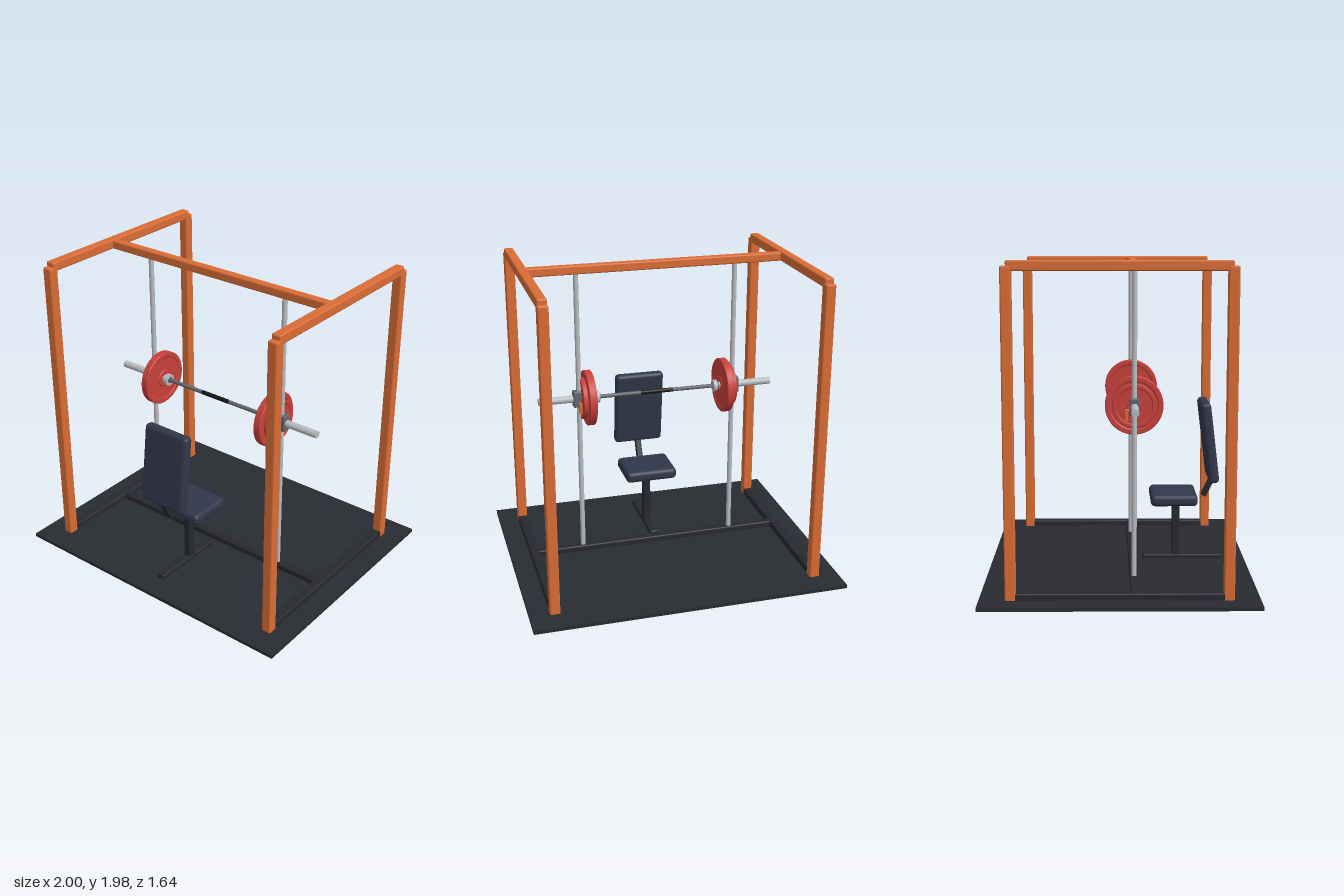
import * as THREE from 'three';
import { RoundedBoxGeometry } from 'three/addons/geometries/RoundedBoxGeometry.js';
import { toCreasedNormals } from 'three/addons/utils/BufferGeometryUtils.js';

const paint = (color) => new THREE.MeshStandardMaterial({ color });
const mats = {
  orange: paint(0xd96c35), dark: paint(0x26282d), mat: paint(0x282b30), pad: paint(0x31374a),
  red: paint(0xc8403a), steel: paint(0xb9bcc0), grey: paint(0x62676e), black: paint(0x151617),
};

export function createModel() {
  const root = new THREE.Group();

  const add = (parent, name, geometry, material, x, y, z) => {
    const mesh = new THREE.Mesh(geometry, material);
    mesh.name = name;
    mesh.position.set(x, y, z);
    parent.add(mesh);
    return mesh;
  };
  const group = (name) => {
    const g = new THREE.Group();
    g.name = name;
    root.add(g);
    return g;
  };
  // Box given by its size and centre, with rounded edges
  const block = (parent, name, material, [w, h, d], [x, y, z], r = 0.01) =>
    add(parent, name, new RoundedBoxGeometry(w, h, d, 3, r), material, x, y, z);
  // Round bar along x, from x0 to x1
  const barY = 1.113, barZ = 0.09;
  const rod = (parent, name, material, r, x0, x1) => {
    const g = new THREE.CylinderGeometry(r, r, Math.abs(x1 - x0), 32).rotateZ(Math.PI / 2);
    return add(parent, name, g, material, (x0 + x1) / 2, barY, barZ);
  };
  // Weight plate: raised rim and hub with a shallow recess on both faces
  const plate = (parent, name, r, x0, x1) => {
    const h = Math.abs(x1 - x0) / 2, dip = h - 0.005;
    const face = [[0, h], [r * 0.3, h], [r * 0.33, dip], [r * 0.8, dip], [r * 0.84, h], [r - 0.004, h], [r, h - 0.004]];
    const profile = [...face.map(([a, b]) => [a, -b]), ...face.slice().reverse()];
    const lathe = new THREE.LatheGeometry(profile.map(([a, b]) => new THREE.Vector2(a, b)), 48);
    const g = toCreasedNormals(lathe, 0.5).rotateZ(Math.PI / 2);
    add(parent, name, g, mats.red, (x0 + x1) / 2, barY, barZ);
  };

  // Floor mat
  add(root, 'floorMat', new THREE.BoxGeometry(2, 0.022, 1.644), mats.mat, 0, 0.019, 0);

  // Frame
  const frame = group('frame');
  for (const s of [-1, 1]) {
    for (const z of [-0.637, 0.637]) {
      block(frame, 'upright', mats.orange, [0.064, 1.95, 0.064], [s * 0.842, 0.98, z]);
    }
    block(frame, 'topSideBeam', mats.orange, [0.06, 0.06, 1.274], [s * 0.842, 1.956, 0]);
    block(frame, 'baseSideRail', mats.dark, [0.06, 0.055, 1.274], [s * 0.842, 0.043, 0]);
    const guide = new THREE.CylinderGeometry(0.016, 0.016, 1.87, 24);
    add(frame, 'guideRod', guide, mats.steel, s * 0.513, 0.998, barZ);
  }
  block(frame, 'topCrossBeam', mats.orange, [1.66, 0.055, 0.055], [0, 1.954, barZ]);
  block(frame, 'baseCrossRail', mats.dark, [1.66, 0.05, 0.055], [0, 0.044, barZ]);

  // Barbell running on the guide rods
  const barbell = group('barbell');
  rod(barbell, 'shaft', mats.grey, 0.0125, -0.46, 0.46);
  rod(barbell, 'grip', mats.black, 0.0135, -0.108, 0.108);
  for (const s of [-1, 1]) {
    rod(barbell, 'sleeve', mats.steel, 0.023, s * 0.42, s * 0.775);
    rod(barbell, 'collarNeck', mats.grey, 0.02, s * 0.375, s * 0.43);
    rod(barbell, 'collar', mats.steel, 0.038, s * 0.382, s * 0.406);
    plate(barbell, 'largePlate', 0.177, s * 0.428, s * 0.476);
    plate(barbell, 'smallPlate', 0.134, s * 0.476, s * 0.507);
    block(barbell, 'carriage', mats.grey, [0.056, 0.105, 0.058], [s * 0.525, barY, barZ], 0.008);
    block(barbell, 'safetyHook', mats.orange, [0.02, 0.075, 0.02], [s * 0.512, 1.06, 0.043], 0.004);
    block(barbell, 'hookArm', mats.orange, [0.02, 0.02, 0.04], [s * 0.512, 1.088, 0.055], 0.004);
  }

  // Bench
  const bench = group('bench');
  block(bench, 'foot', mats.dark, [0.056, 0.058, 0.51], [0, 0.03, 0.414]);
  block(bench, 'post', mats.dark, [0.05, 0.36, 0.05], [0, 0.216, 0.374], 0.008);
  block(bench, 'seat', mats.pad, [0.35, 0.075, 0.3], [0, 0.45, 0.355], 0.028);
  const back = block(bench, 'backrest', mats.pad, [0.335, 0.52, 0.066], [0, 0.82, 0.58], 0.025);
  back.rotation.x = -0.12;
  const bracket = block(bench, 'backBracket', mats.dark, [0.04, 0.18, 0.036], [0, 0.531, 0.591], 0.006);
  bracket.rotation.x = 0.44;

  return root;
}
